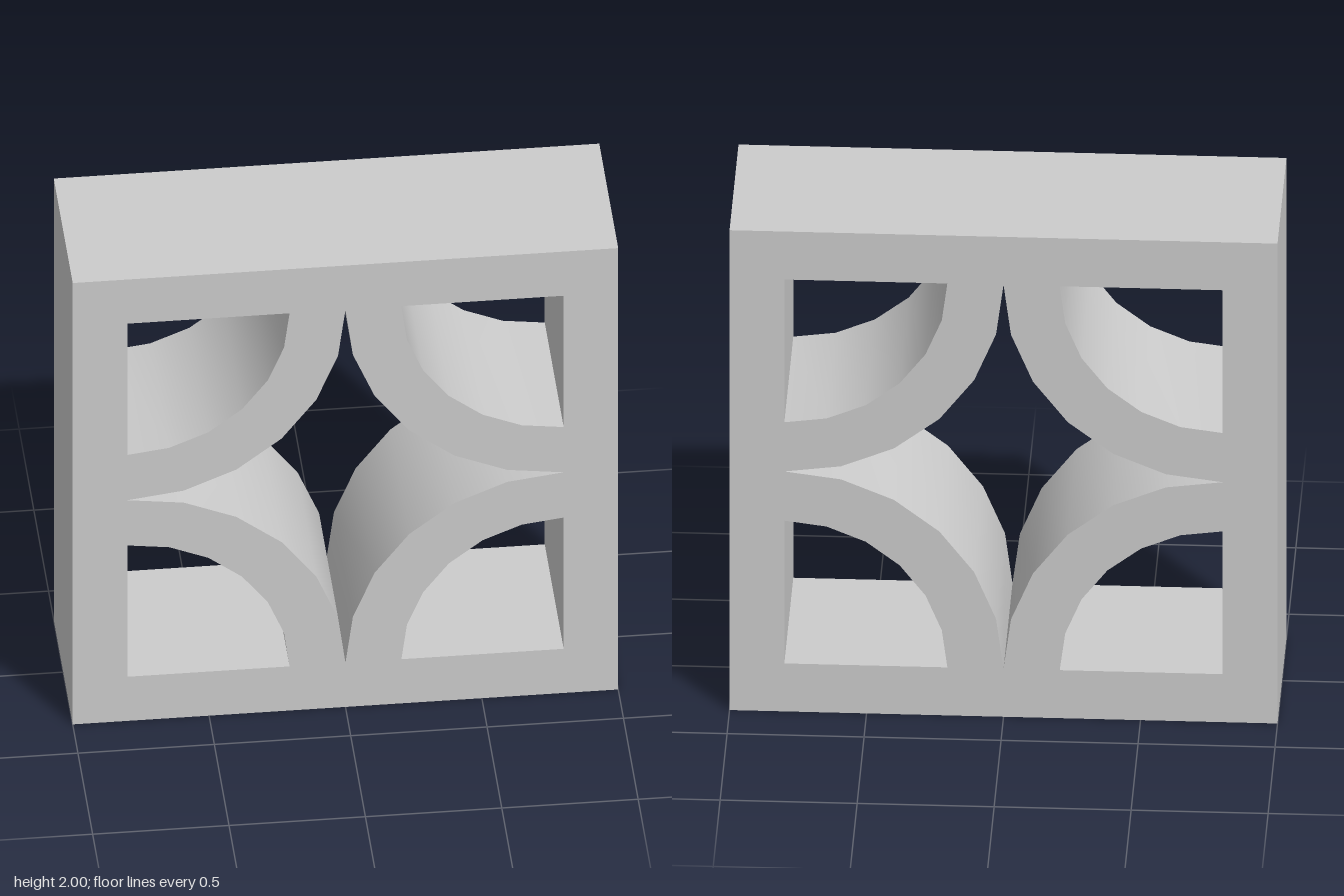
import * as THREE from 'three';
import { toCreasedNormals } from 'three/addons/utils/BufferGeometryUtils.js';

const HALF = 1, INNER = 0.8, DEPTH = 0.645, STEPS = 6;
const ARC_OUTER = 0.8, ARC_INNER = 0.595;

// Quarter arc around the opening's top right corner, turned clockwise by k quarter turns
function cornerArc(radius, k) {
  const points = [];
  for (let i = 0; i <= STEPS; i++) {
    const a = Math.PI + (i / STEPS) * Math.PI / 2;
    points.push(new THREE.Vector2(INNER + radius * Math.cos(a), INNER + radius * Math.sin(a))
      .rotateAround(new THREE.Vector2(), -k * Math.PI / 2));
  }
  return points;
}

export function createModel() {
  const group = new THREE.Group();
  group.name = 'breezeBlock';

  // Square outline
  const outline = new THREE.Shape([
    new THREE.Vector2(-HALF, -HALF), new THREE.Vector2(HALF, -HALF),
    new THREE.Vector2(HALF, HALF), new THREE.Vector2(-HALF, HALF),
  ]);

  // Four-pointed star in the middle and a quarter-round opening in each corner
  const star = [];
  for (let k = 0; k < 4; k++) {
    star.push(...cornerArc(ARC_OUTER, k).slice(0, -1));
    const corner = new THREE.Vector2(INNER, INNER)
      .rotateAround(new THREE.Vector2(), -k * Math.PI / 2);
    outline.holes.push(new THREE.Path([...cornerArc(ARC_INNER, k), corner]));
  }
  outline.holes.push(new THREE.Path(star));

  // Smooth along the arcs, sharp at the corners
  const solid = new THREE.ExtrudeGeometry(outline, { depth: DEPTH, bevelEnabled: false });
  solid.translate(0, HALF, -DEPTH / 2);
  const block = new THREE.Mesh(
    toCreasedNormals(solid, Math.PI / 6),
    new THREE.MeshStandardMaterial({ color: 0xcccccc }),
  );
  block.name = 'piercedBlock';
  group.add(block);
  return group;
}
